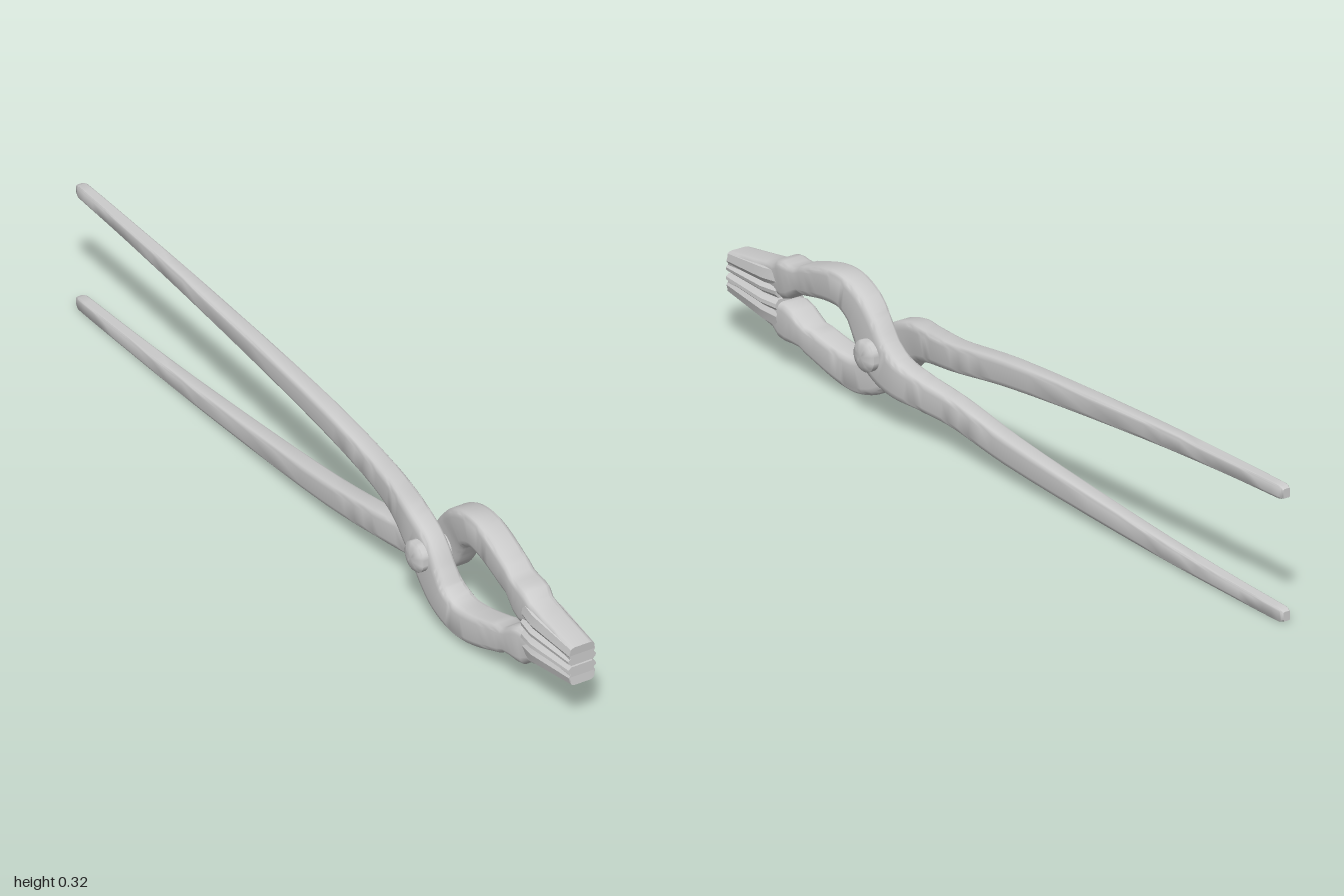
import * as THREE from 'three';
import { toCreasedNormals } from 'three/addons/utils/BufferGeometryUtils.js';

const MID = 0.1625; // height of the axis the two halves are mirrored around
const PIVOT_Z = 0.445;

// One bar from jaw tip to handle end: z, y, x of the centre, half width in x, half thickness
const BAR = [
  [1.0, 0.19, 0, 0.031, 0.021],
  [0.83, 0.206, 0.001, 0.034, 0.034],
  [0.72, 0.238, 0.01, 0.034, 0.034],
  [0.62, 0.264, 0.018, 0.034, 0.039],
  [0.56, 0.266, 0.022, 0.034, 0.041],
  [0.505, 0.243, 0.026, 0.033, 0.045],
  [0.47, 0.205, 0.03, 0.03, 0.051],
  [0.435, 0.159, 0.031, 0.029, 0.054],
  [0.38, 0.127, 0.027, 0.029, 0.046],
  [0.3, 0.11, 0.013, 0.027, 0.037],
  [0.2, 0.098, 0.002, 0.025, 0.033],
  [0, 0.07, 0, 0.023, 0.031],
  [-0.5, 0.034, 0, 0.018, 0.023],
  [-0.8, 0.022, 0, 0.015, 0.018],
  [-0.985, 0.018, 0, 0.013, 0.016],
  [-1.0, 0.018, 0, 0.009, 0.011],
];

// Unit rounded rectangle, counter-clockwise
function roundedSection(r = 0.4, steps = 3) {
  const pts = [];
  [[1, 1], [-1, 1], [-1, -1], [1, -1]].forEach(([sx, sy], q) => {
    for (let k = 0; k <= steps; k++) {
      const a = (q + k / steps) * Math.PI / 2;
      pts.push([sx * (1 - r) + r * Math.cos(a), sy * (1 - r) + r * Math.sin(a)]);
    }
  });
  return pts;
}

// Sweep the section along the bar, with its thickness square to the path
function barGeometry() {
  const path = new THREE.CatmullRomCurve3(BAR.map(([z, y, x]) => new THREE.Vector3(x, y, z)));
  const size = new THREE.CatmullRomCurve3(BAR.map((b) => new THREE.Vector3(b[3], b[4], 0)));
  const section = roundedSection();
  const n = section.length;
  const rings = (BAR.length - 1) * 5;
  const pos = [];
  const index = [];
  for (let i = 0; i <= rings; i++) {
    const t = i / rings;
    const c = path.getPoint(t);
    const s = size.getPoint(t);
    const d = path.getTangent(t);
    const len = Math.hypot(d.y, d.z);
    for (const [u, v] of section) {
      pos.push(c.x + u * s.x, c.y - v * s.y * d.z / len, c.z + v * s.y * d.y / len);
    }
    if (i === rings) break;
    for (let j = 0; j < n; j++) {
      const a = i * n + j;
      const b = i * n + (j + 1) % n;
      index.push(a, a + n, b, b, a + n, b + n);
    }
  }
  // End caps as fans
  const last = rings * n;
  for (let j = 1; j < n - 1; j++) {
    index.push(0, j, j + 1, last, last + j + 1, last + j);
  }
  const g = new THREE.BufferGeometry();
  g.setAttribute('position', new THREE.Float32BufferAttribute(pos, 3));
  g.setIndex(index);
  return toCreasedNormals(g, 0.75);
}

// Gripping bit: a lipped, grooved profile that widens toward the back
function bitGeometry() {
  const half = [[0.028, 0.002], [0.035, 0.008], [0.036, 0.014], [0.029, 0.02], [0.034, 0.028], [0.03, 0.044], [0.022, 0.047]];
  const outline = [...half, ...half.slice().reverse().map(([x, y]) => [-x, y])];
  const shape = new THREE.Shape(outline.map(([x, y]) => new THREE.Vector2(x, y)));
  const z0 = 0.815;
  const depth = 1 - z0;
  const g = new THREE.ExtrudeGeometry(shape, { depth, steps: 4, bevelEnabled: false });
  const p = g.attributes.position;
  for (let i = 0; i < p.count; i++) {
    const t = p.getZ(i) / depth;
    const flare = t < 0.01 ? 1.08 : 1.36 - 0.36 * t; // pinched back edge
    const rise = 1.5 - 0.5 * t;
    const y = p.getY(i);
    p.setXYZ(i, p.getX(i) * flare, MID + 0.002 + (y - 0.002) * rise, z0 + p.getZ(i));
  }
  return toCreasedNormals(g, 0.5);
}

// Domed rivet head pointing along +y before it is turned sideways
function rivetGeometry() {
  const profile = [[0, -0.002], [0.037, -0.002], [0.037, 0.073], [0.033, 0.077], [0.024, 0.081], [0.012, 0.0835], [0, 0.084]];
  const g = new THREE.LatheGeometry(profile.map(([r, y]) => new THREE.Vector2(r, y)), 28);
  return toCreasedNormals(g, 0.6);
}

export function createModel() {
  const model = new THREE.Group();
  model.name = 'tongs';
  const material = new THREE.MeshStandardMaterial({ color: 0xcccccc });
  const bar = barGeometry();
  const bit = bitGeometry();
  const rivet = rivetGeometry();

  // The second half is the first turned half a revolution about the long axis
  ['upperJawHalf', 'lowerJawHalf'].forEach((name, i) => {
    const half = new THREE.Group();
    half.name = name;
    const add = (geometry, part) => {
      const mesh = new THREE.Mesh(geometry, material);
      mesh.name = part;
      half.add(mesh);
      return mesh;
    };
    add(bar, 'jawAndHandleBar');
    add(bit, 'grippingBit');
    const head = add(rivet, 'rivetHead');
    head.rotation.z = -Math.PI / 2;
    head.position.set(0, MID, PIVOT_Z);
    if (i === 1) {
      half.rotation.z = Math.PI;
      half.position.y = 2 * MID;
    }
    model.add(half);
  });
  return model;
}
